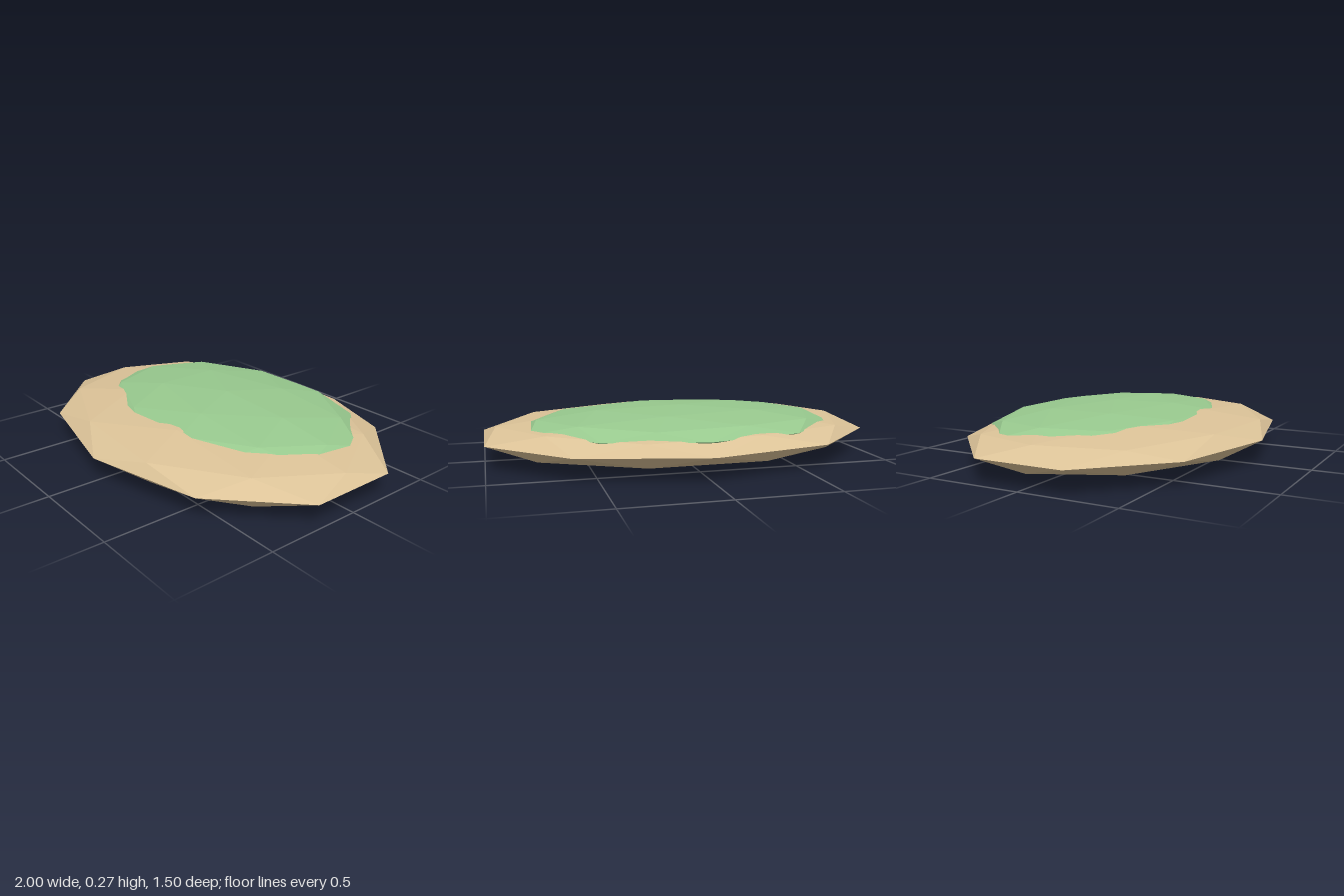
import * as THREE from 'three';

// Faceted ellipsoid with a vertex at each pole and a ten-sided equator
function facetedBlob(rx, ry, rz) {
  const geometry = new THREE.IcosahedronGeometry(1, 1);
  geometry.rotateZ(-Math.atan(2 / (1 + Math.sqrt(5))));
  geometry.scale(rx, ry, rz);
  geometry.computeVertexNormals(); // unshared corners give flat facets
  return geometry;
}

export function createModel() {
  const sand = new THREE.MeshStandardMaterial({ color: 0xdcc398 });
  sand.name = 'sand';
  const grass = new THREE.MeshStandardMaterial({ color: 0x98c98e });
  grass.name = 'grass';

  const island = new THREE.Group();
  island.name = 'island';

  // Wide flat sandy base
  const base = new THREE.Mesh(facetedBlob(1.0515, 0.122, 0.75), sand);
  base.name = 'sandBase';
  base.position.y = 0.122;

  // Grassy mound sunk into the base, set toward the back
  const mound = new THREE.Mesh(facetedBlob(0.83, 0.095, 0.57), grass);
  mound.name = 'grassMound';
  mound.position.set(0, 0.175, -0.09);

  island.add(base, mound);
  return island;
}
